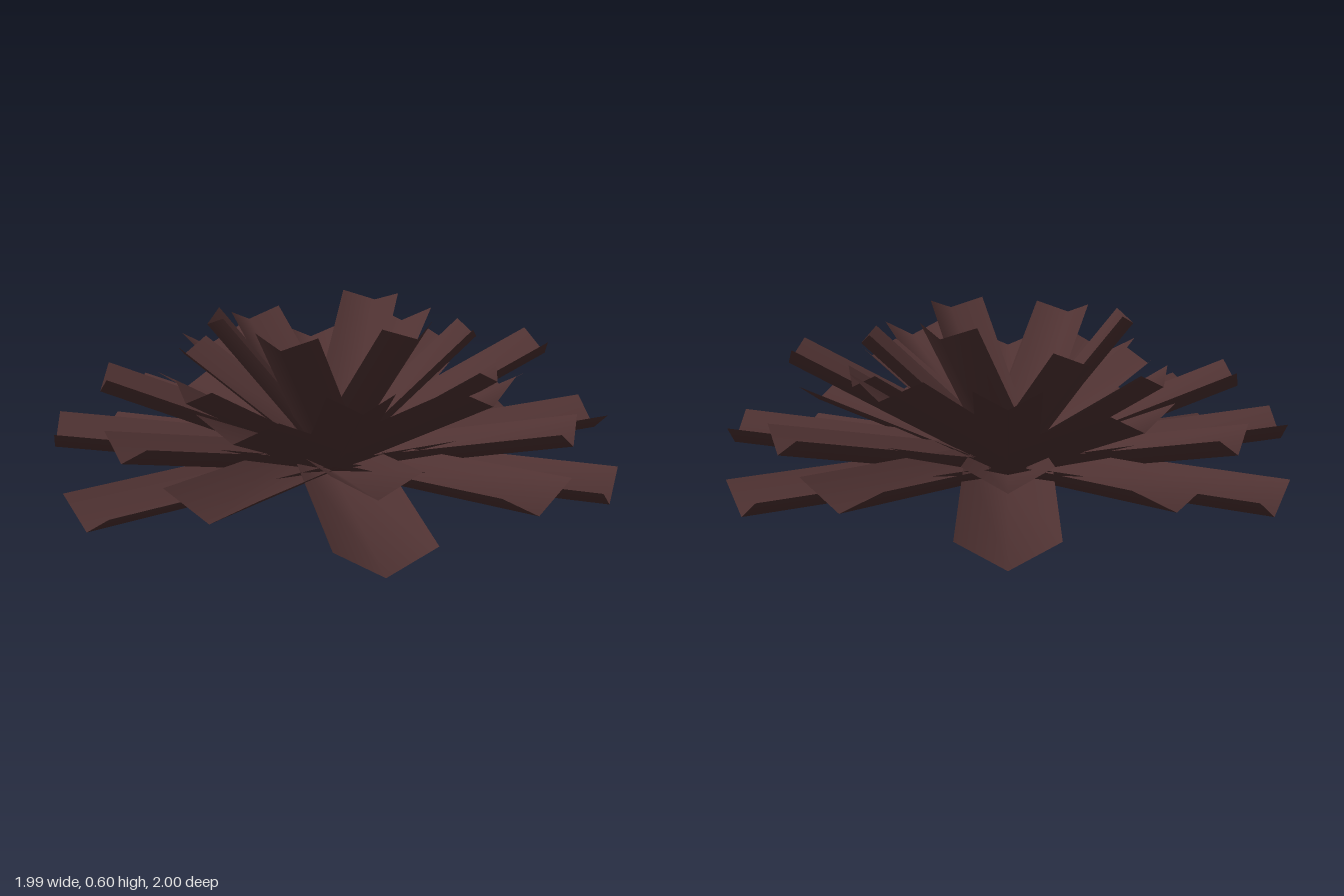
import * as THREE from 'three';

// Leaf: an open V-folded strip running along +z from its base, crease at the bottom
function leafGeometry(length) {
  const w = 0.155 * length, h = 0.088 * length;
  const geo = new THREE.BufferGeometry();
  geo.setAttribute('position', new THREE.Float32BufferAttribute([
    -w, h, 0, 0, 0, 0, w, h, 0,
    -w, h, length, 0, 0, length, w, h, length,
  ], 3));
  geo.setIndex([0, 3, 4, 0, 4, 1, 1, 4, 5, 1, 5, 2]);
  geo.computeVertexNormals();
  return geo;
}

// Rings of twelve leaves; tilts in degrees, every 30 degrees from the front towards the left
const RINGS = [
  { name: 'outerLeaf', length: 1, tilts: [0, 8, 0, 6.3, 0, 7.2, 0, 7.2, 0, 7.4, 0, 8] },
  { name: 'middleLeaf', length: 0.89, tilts: [13, 22, 12.3, 27.4, 12.3, 28, 12.3, 28.3, 12.3, 22, 12.3, 22] },
  { name: 'innerLeaf', length: 0.717, tilts: [30, 49.5, 32, 52, 33, 43, 33, 52, 32, 43, 33, 51.5] },
];

export function createModel() {
  const model = new THREE.Group();
  model.name = 'leafRosette';
  const leafBrown = new THREE.MeshStandardMaterial({ color: 0x4f3232, side: THREE.DoubleSide });
  leafBrown.name = 'leafBrown';

  for (const { name, length, tilts } of RINGS) {
    const geo = leafGeometry(length);
    tilts.forEach((tilt, i) => {
      const leaf = new THREE.Mesh(geo, leafBrown);
      leaf.name = name + (i + 1);
      leaf.rotation.order = 'YXZ';
      leaf.rotation.set(-THREE.MathUtils.degToRad(tilt), i * Math.PI / 6, 0);
      model.add(leaf);
    });
  }
  return model;
}
